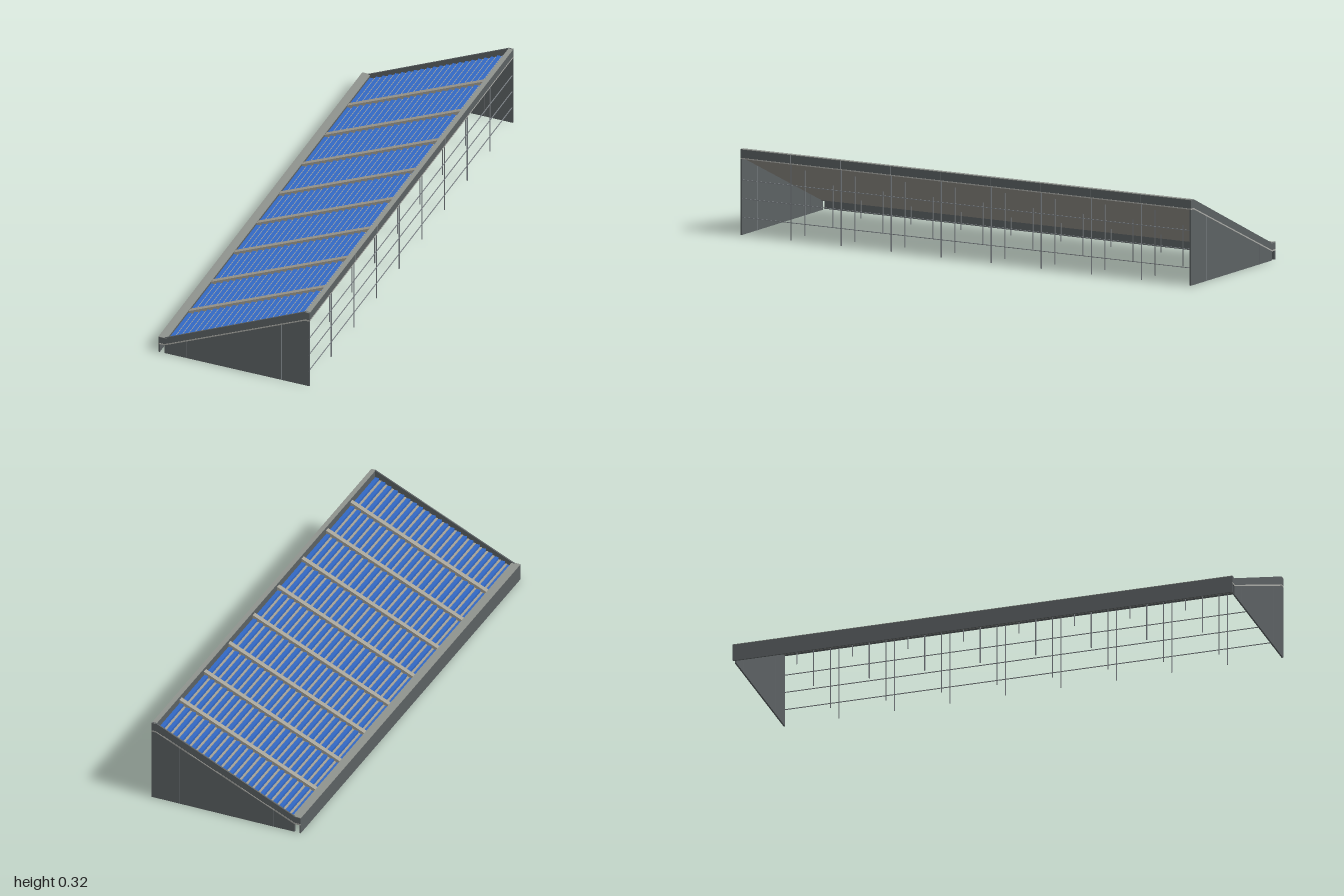
import * as THREE from 'three';

const L = 1.934;             // length of the stand
const ZB = 0.302;            // half depth
const Z0 = -0.277, Z1 = 0.284; // foot and head of the rake
const ROWS = 22, AISLES = 8, AISLE_W = 0.019;
const PITCH = (Z1 - Z0) / ROWS, RISE = 0.25 / ROWS;
const BAY = L / (AISLES + 1);

const mat = (name, color) => {
  const m = new THREE.MeshStandardMaterial({ color });
  m.name = name;
  return m;
};

export function createModel() {
  const wall = mat('wall grey', 0x5c6163);
  const concrete = mat('concrete', 0xa5a297);
  const coping = mat('coping grey', 0x8f938e);
  const soffitMat = mat('soffit grey', 0x93918a);
  const blue = mat('seat blue', 0x3268c4);
  const steel = mat('steel', 0x7c8286);
  const trim = mat('trim light grey', 0xa9aaa5);

  const stand = new THREE.Group();
  stand.name = 'grandstand';

  const add = (name, geo, m) => {
    const mesh = new THREE.Mesh(geo, m);
    mesh.name = name;
    stand.add(mesh);
  };
  // box given by its limits on each axis
  const box = (name, m, x0, x1, y0, y1, z0, z1) =>
    add(name, new THREE.BoxGeometry(x1 - x0, y1 - y0, z1 - z0)
      .translate((x0 + x1) / 2, (y0 + y1) / 2, (z0 + z1) / 2), m);
  // (z, y) profile swept along x, centred on cx
  const sweep = (name, m, pts, width, cx = 0) => {
    const shape = new THREE.Shape(pts.map(p => new THREE.Vector2(p[0], p[1])));
    const geo = new THREE.ExtrudeGeometry(shape, { depth: width, bevelEnabled: false });
    geo.rotateY(-Math.PI / 2).translate(cx + width / 2, 0, 0);
    add(name, geo, m);
  };
  const under = z => 0.035 + 0.25 * (z - Z0) / (Z1 - Z0);
  const aisleX = i => (i - (AISLES - 1) / 2) * BAY;

  // stepped terrace
  const steps = [[Z0, 0.037]];
  for (let r = 0; r < ROWS; r++) {
    const y = 0.046 + r * RISE;
    steps.push([Z0 + r * PITCH, y], [Z0 + (r + 1) * PITCH, y]);
  }
  steps.push([Z1, 0.287]);
  sweep('terrace', concrete, steps, L - 0.012);
  sweep('soffit', soffitMat,
    [[Z0, 0.033], [Z1, 0.283], [Z1, 0.286], [Z0, 0.036]], L - 0.012);

  // seat rows, one bench per bay, set to the rear of each tread
  for (let r = 0; r < ROWS; r++) {
    const y = 0.046 + r * RISE, z = Z0 + r * PITCH;
    for (let b = 0; b <= AISLES; b++) {
      const x0 = b === 0 ? -L / 2 + 0.008 : aisleX(b - 1) + AISLE_W / 2;
      const x1 = b === AISLES ? L / 2 - 0.008 : aisleX(b) - AISLE_W / 2;
      box('seatRow', blue, x0, x1, y, y + 0.01, z + 0.0085, z + 0.0245);
    }
  }

  // low wall and walkway at the foot, fascia along the top
  box('lowWall', wall, -L / 2, L / 2, 0, 0.064, -ZB, -ZB + 0.006);
  box('walkway', wall, -L / 2, L / 2, 0.035, 0.064, -ZB + 0.006, -0.268);
  box('walkwayTop', coping, -L / 2, L / 2, 0.064, 0.066, -ZB, -0.268);
  box('topFascia', wall, -L / 2, L / 2, 0.285, 0.32, Z1, ZB);
  box('topCoping', coping, -L / 2, L / 2, 0.32, 0.322, Z1, ZB);
  box('topTrim', trim, -L / 2, L / 2, 0.285, 0.289, ZB, ZB + 0.001);

  // gable ends: panel, raked parapet, trim and posts
  for (const s of [-1, 1]) {
    const x = s * (L / 2 - 0.003);
    const face = s * (L / 2 + 0.0005);
    sweep('sidePanel', wall,
      [[Z0, 0], [ZB, 0], [ZB, 0.285], [Z1, 0.285], [Z0, 0.035]], 0.006, x);
    sweep('sideParapet', wall,
      [[-ZB, 0.035], [Z0, 0.035], [Z1, 0.285], [ZB, 0.285], [ZB, 0.322],
        [Z1, 0.322], [Z0, 0.066], [-ZB, 0.066]], 0.006, x);
    sweep('sideTrim', trim,
      [[-ZB, 0.034], [Z0, 0.034], [Z1, 0.284], [ZB, 0.284], [ZB, 0.289],
        [Z1, 0.289], [Z0, 0.039], [-ZB, 0.039]], 0.001, face);
    for (const z of [-0.19, 0.19])
      box('sidePost', steel, x - 0.0035, x + 0.0035, 0, under(z), z - 0.001, z + 0.001);
  }

  // smooth aisles, posts below each one, and joints in the fascia
  for (let i = 0; i < AISLES; i++) {
    const x = aisleX(i), t = 0.0016;
    sweep('aisle', concrete,
      [[-0.268, 0.05], [Z1, 0.287], [Z1, 0.309], [-0.268, 0.063]], AISLE_W, x);
    for (const z of [-0.2, 0, 0.2, 0.298])
      box('post', steel, x - t, x + t, 0, Math.min(under(z), 0.286), z - t, z + t);
    box('fasciaJoint', steel, x - 0.001, x + 0.001, 0.289, 0.32, ZB, ZB + 0.001);
  }
  // rails across the open rear
  for (const y of [0.066, 0.136, 0.206])
    box('rail', steel, -L / 2, L / 2, y - 0.0012, y + 0.0012, 0.297, 0.3);

  // the stand lies askew in plan
  stand.rotation.y = Math.atan(0.5);
  const model = new THREE.Group();
  model.name = 'stadiumStand';
  model.add(stand);
  return model;
}
